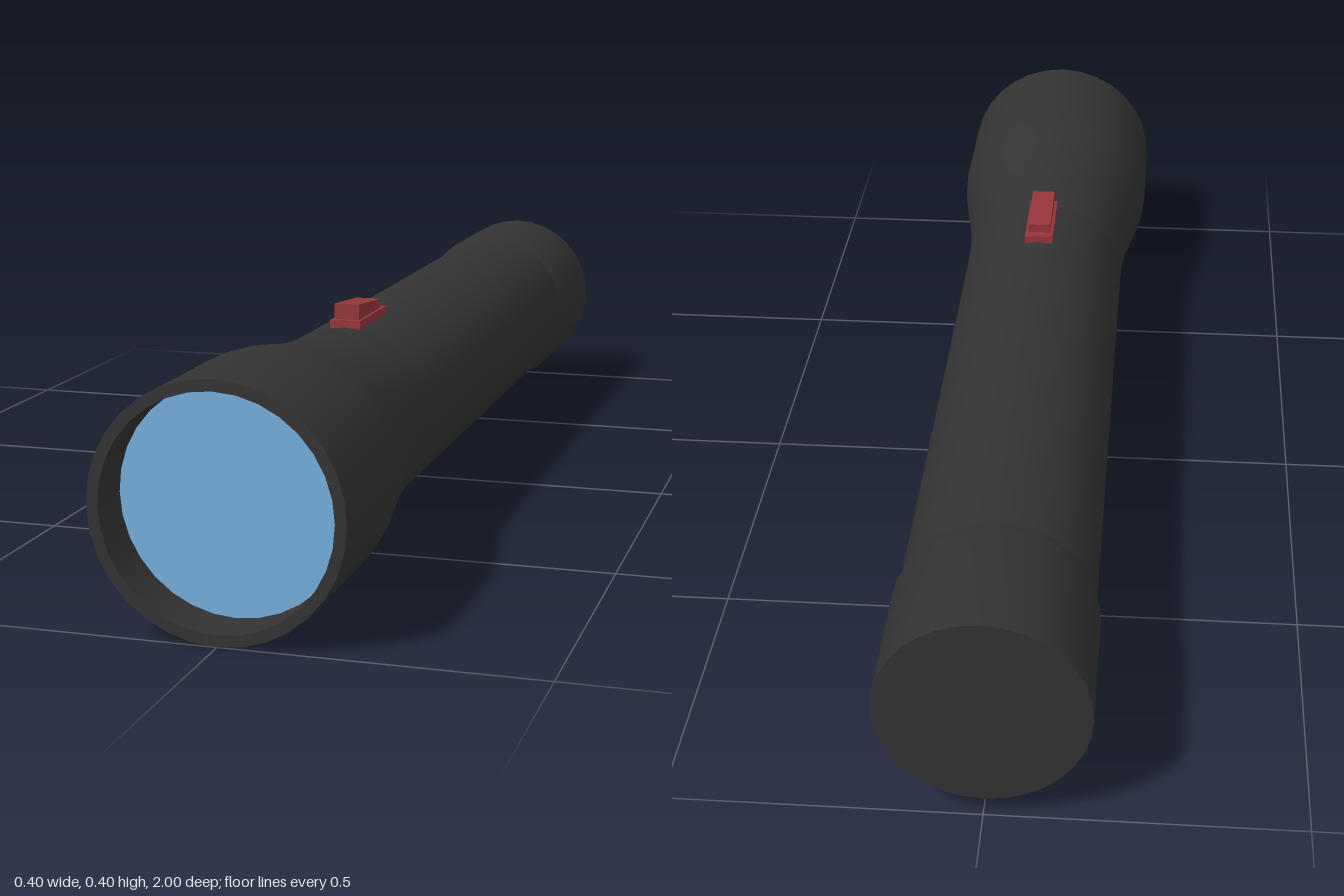
import * as THREE from 'three';
import { toCreasedNormals } from 'three/addons/utils/BufferGeometryUtils.js';

const SIDES = 32;
const AXIS_Y = 0.2;
const black = new THREE.MeshStandardMaterial({ color: 0x333333 });
const red = new THREE.MeshStandardMaterial({ color: 0x963539 });
const blue = new THREE.MeshStandardMaterial({ color: 0x74aedd });

// Revolves [radius, z] pairs about the long axis, listed from back to front
function turned(name, profile) {
  const points = profile.map(([r, z]) => new THREE.Vector2(r, z));
  const geometry = new THREE.LatheGeometry(points, SIDES).rotateX(Math.PI / 2);
  const mesh = new THREE.Mesh(toCreasedNormals(geometry, 0.5), black);
  mesh.name = name;
  return mesh;
}

export function createModel() {
  const model = new THREE.Group();
  model.name = 'flashlight';

  const barrel = new THREE.Group();
  barrel.name = 'barrel';
  barrel.position.y = AXIS_Y;
  model.add(barrel);

  // Closed tail cap with a small step down to the tube
  barrel.add(turned('tailCap', [[0, -1], [0.167, -1], [0.167, -0.765], [0.159, -0.735]]));

  // Grip tube
  barrel.add(turned('tube', [[0.159, -0.735], [0.159, 0.38]]));

  // Flared head, rim and the inside wall down to the lens
  barrel.add(turned('head', [
    [0.159, 0.38], [0.162, 0.47], [0.168, 0.54], [0.176, 0.6], [0.188, 0.67],
    [0.197, 0.725], [0.2, 0.76], [0.2, 1], [0.182, 1], [0.182, 0.915],
  ]));

  // Recessed lens
  const lens = new THREE.Mesh(new THREE.CircleGeometry(0.182, SIDES), blue);
  lens.name = 'lens';
  lens.position.z = 0.92;
  barrel.add(lens);

  // Switch: a low plate carrying a button that slopes down toward the tail
  const slider = new THREE.Group();
  slider.name = 'switch';
  model.add(slider);

  const plate = new THREE.Mesh(new THREE.BoxGeometry(0.054, 0.025, 0.16), red);
  plate.name = 'switchPlate';
  plate.position.set(0, 0.3585, 0.293);
  slider.add(plate);

  const wedge = new THREE.BoxGeometry(0.044, 0.04, 0.128);
  const p = wedge.attributes.position;
  for (let i = 0; i < p.count; i++) {
    if (p.getY(i) > 0 && p.getZ(i) < 0) p.setY(i, 0.009);
  }
  wedge.computeVertexNormals();
  const button = new THREE.Mesh(wedge, red);
  button.name = 'switchButton';
  button.position.set(0, 0.378, 0.297);
  slider.add(button);

  return model;
}
